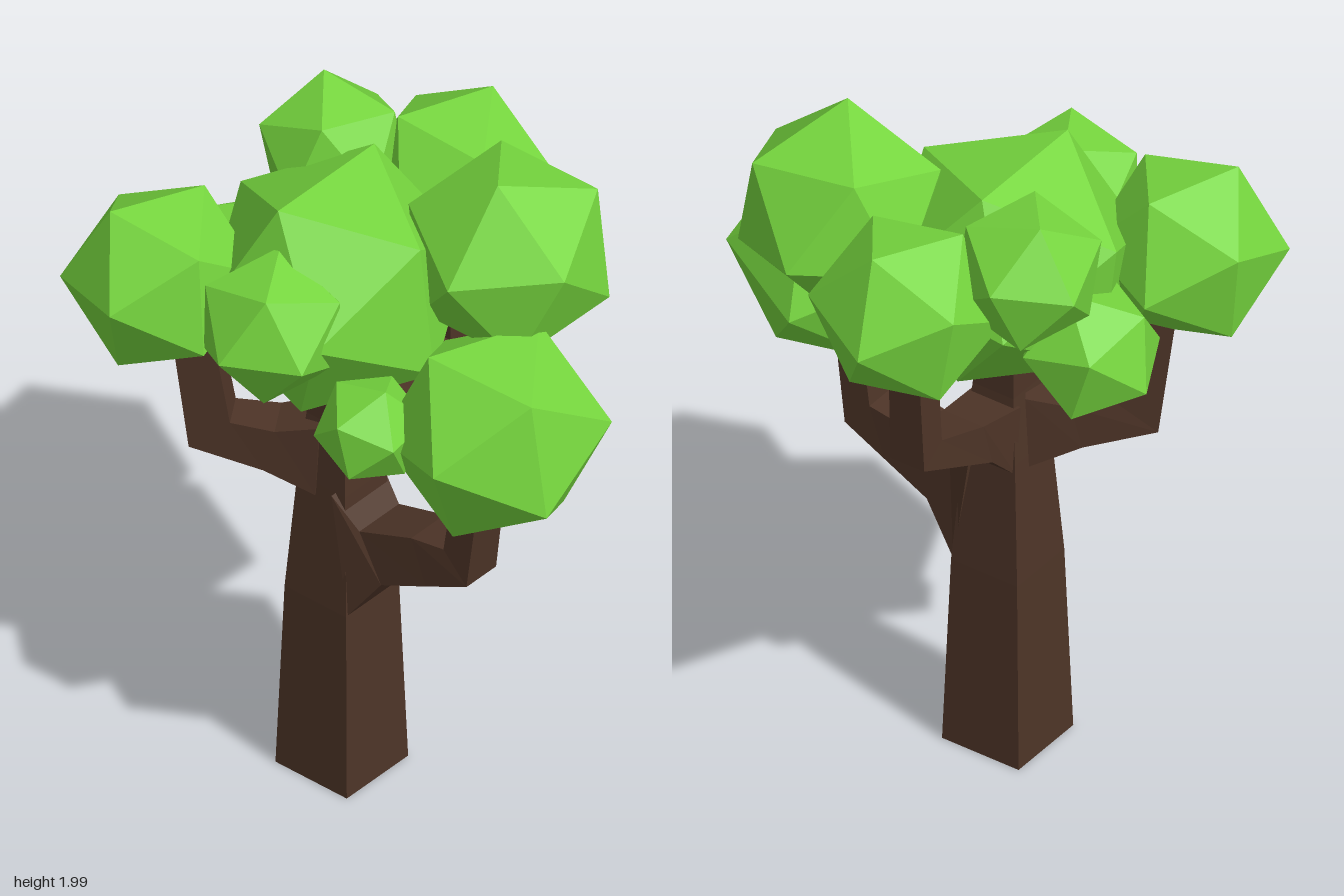
import * as THREE from 'three';

const bark = new THREE.MeshStandardMaterial({ color: 0x4d3427, flatShading: true });
const leaf = new THREE.MeshStandardMaterial({ color: 0x76d63e, flatShading: true });

// Skin a series of four-cornered rings (counter-clockwise seen from the far end) and cap both ends
function loft(rings) {
  const index = [];
  const quad = (a, b, c, d) => index.push(a, b, c, a, c, d);
  for (let i = 0; i < rings.length - 1; i++) {
    for (let j = 0; j < 4; j++) {
      const k = (j + 1) % 4, a = i * 4, b = a + 4;
      quad(a + j, a + k, b + k, b + j);
    }
  }
  const e = (rings.length - 1) * 4;
  quad(3, 2, 1, 0);
  quad(e, e + 1, e + 2, e + 3);
  const indexed = new THREE.BufferGeometry();
  indexed.setAttribute('position', new THREE.Float32BufferAttribute(rings.flat(2), 3));
  indexed.setIndex(index);
  const g = indexed.toNonIndexed();
  g.computeVertexNormals();
  return g;
}

// Sections: [outer reach, outer height, inner reach, inner height, half width]
function branch(name, angle, sections) {
  const rings = sections.map(([pu, py, qu, qy, w]) =>
    [[pu, py, w], [pu, py, -w], [qu, qy, -w], [qu, qy, w]]);
  const mesh = new THREE.Mesh(loft(rings), bark);
  mesh.name = name;
  mesh.rotation.y = angle;
  return mesh;
}

// Icosahedral leaf clump, turned so that two neighbouring corners point along a and b
function clump(name, center, radius, a, b) {
  const va = new THREE.Vector3(...a).normalize();
  const vb = new THREE.Vector3(...b).normalize();
  const y = va.clone().add(vb).normalize();
  const x = va.clone().sub(vb).normalize();
  const z = x.clone().cross(y);
  const mesh = new THREE.Mesh(new THREE.IcosahedronGeometry(radius, 0), leaf);
  mesh.name = name;
  mesh.quaternion.setFromRotationMatrix(new THREE.Matrix4().makeBasis(x, y, z));
  mesh.position.set(...center);
  return mesh;
}

export function createModel() {
  const tree = new THREE.Group();
  tree.name = 'tree';

  // Tapered square trunk with its branches, all around the trunk axis
  const wood = new THREE.Group();
  wood.name = 'wood';
  wood.position.set(-0.105, 0, 0.082);
  const trunkRings = [[0, 0.124], [0.58, 0.107], [0.95, 0.083], [1.15, 0.066], [1.5, 0.06]]
    .map(([y, h]) => [[h, y, h], [h, y, -h], [-h, y, -h], [-h, y, h]]);
  const trunk = new THREE.Mesh(loft(trunkRings), bark);
  trunk.name = 'trunk';
  wood.add(
    trunk,
    branch('lowBranch', 0, [
      [0.105, 0.58, 0.05, 0.95, 0.1],
      [0.205, 0.72, 0.13, 0.86, 0.08],
      [0.35, 0.78, 0.3, 0.915, 0.068],
      [0.485, 0.84, 0.405, 0.925, 0.06],
      [0.53, 1.2, 0.445, 1.2, 0.055],
    ]),
    branch('frontBranch', Math.atan2(-0.54, -0.84), [
      [0.06, 0.92, 0.05, 1.14, 0.075],
      [0.2, 0.98, 0.17, 1.11, 0.065],
      [0.4, 1.03, 0.29, 1.12, 0.055],
      [0.45, 1.42, 0.34, 1.42, 0.05],
    ]),
    branch('backBranch', Math.PI / 2, [
      [0.07, 0.91, 0.05, 1.12, 0.078],
      [0.16, 1.0, 0.2, 1.14, 0.065],
      [0.455, 1.14, 0.375, 1.195, 0.055],
      [0.475, 1.55, 0.39, 1.55, 0.048],
    ]),
  );
  tree.add(wood);

  // Foliage
  const foliage = new THREE.Group();
  foliage.name = 'foliage';
  foliage.add(
    clump('middleClump', [-0.13, 1.57, 0.07], 0.37, [-0.04, 0.315, 0.2], [-0.04, 0.315, -0.2]),
    clump('topClump', [0.26, 1.715, -0.17], 0.295, [0.03, 0.28, 0.085], [0.26, 0.07, 0.085]),
    clump('lowClump', [0.425, 1.345, 0.075], 0.31, [0.04, 0.035, 0.305], [0.28, -0.1, 0.11]),
    clump('frontClump', [-0.485, 1.575, 0.37], 0.268, [0.05, 0.025, 0.265], [-0.09, 0.235, 0.1]),
    clump('smallFrontClump', [-0.1, 1.6, 0.37], 0.212, [-0.01, -0.03, 0.205], [0.08, 0.19, 0.1]),
    clump('tinyClump', [0.165, 1.34, 0.28], 0.153, [0, 0.07, 0.13], [0.125, 0.02, 0.06]),
    clump('backClump', [-0.11, 1.66, -0.385], 0.262, [-0.03, -0.03, -0.25], [0.02, 0.23, -0.11]),
    clump('highBackClump', [-0.35, 1.755, -0.17], 0.213, [-0.075, 0.2, -0.03], [-0.02, 0.03, -0.21]),
    clump('lowSideClump', [-0.435, 1.44, 0], 0.2, [-0.18, -0.07, 0], [-0.09, 0.08, -0.16]),
  );
  tree.add(foliage);
  return tree;
}
